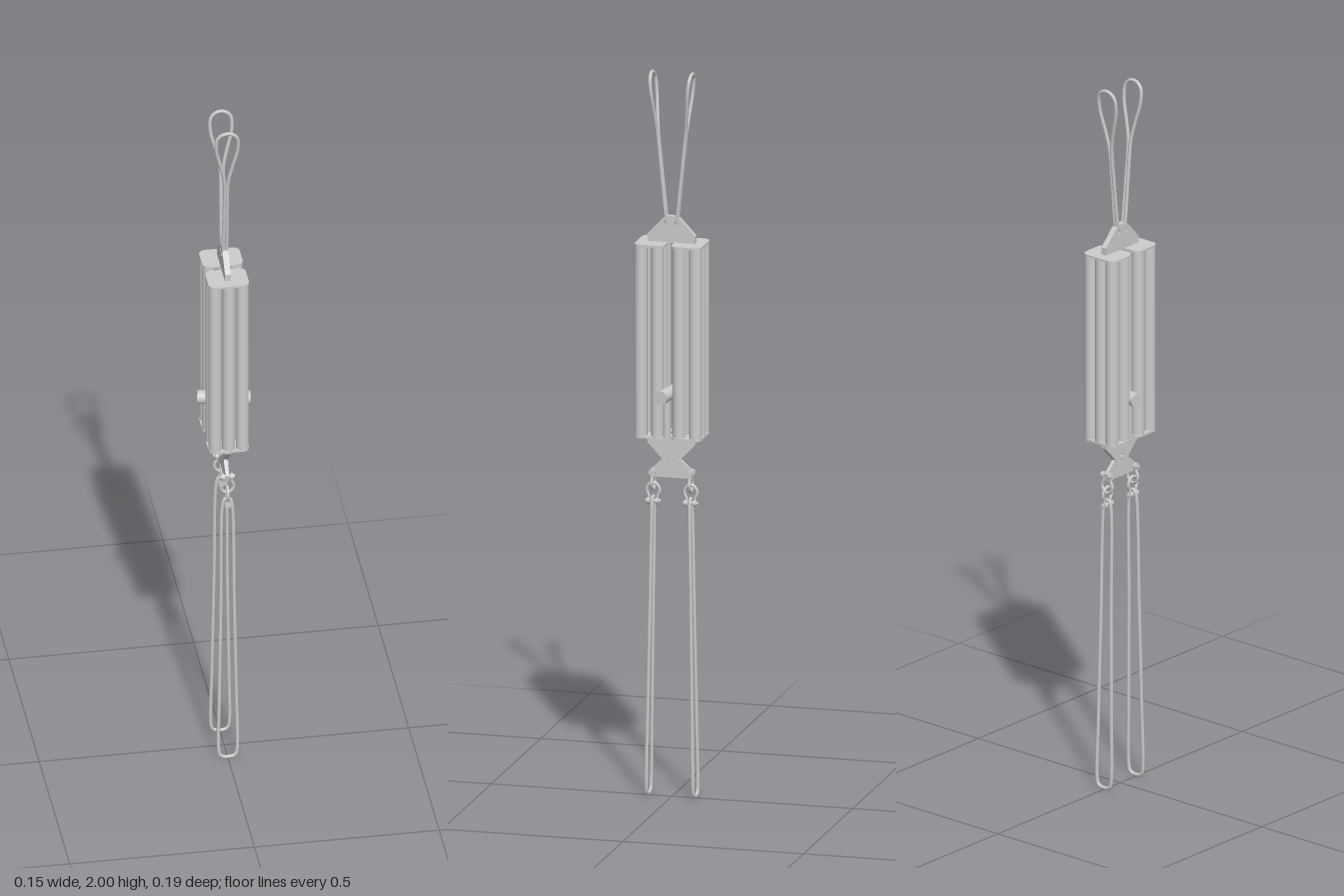
import * as THREE from 'three';

const material = new THREE.MeshStandardMaterial({ color: 0xcccccc, side: THREE.DoubleSide });
const V = (x, y, z) => new THREE.Vector3(x, y, z);

function add(parent, name, geometry, x = 0, y = 0, z = 0) {
  const mesh = new THREE.Mesh(geometry, material);
  mesh.name = name;
  mesh.position.set(x, y, z);
  parent.add(mesh);
  return mesh;
}

// Cylinder between two points
function rod(parent, name, a, b, radius, sides = 16) {
  const mesh = add(parent, name, new THREE.CylinderGeometry(radius, radius, a.distanceTo(b), sides));
  mesh.position.copy(a).add(b).multiplyScalar(0.5);
  mesh.quaternion.setFromUnitVectors(V(0, 1, 0), b.clone().sub(a).normalize());
  return mesh;
}

// Smooth round wire through points
function wire(parent, name, points, radius, closed = true, steps = 120) {
  const curve = new THREE.CatmullRomCurve3(points, closed, 'centripetal');
  return add(parent, name, new THREE.TubeGeometry(curve, steps, radius, 8, closed));
}

// Flat lug in the z-y plane, mirrored about z = 0; holes are [z, y, radius]
function lug(parent, name, half, holes, thickness) {
  const outline = [...half, ...half.slice().reverse().map(([z, y]) => [-z, y])];
  const shape = new THREE.Shape(outline.map(([z, y]) => new THREE.Vector2(z, y)));
  for (const [z, y, r] of holes) {
    shape.holes.push(new THREE.Path().absarc(z, y, r, 0, Math.PI * 2, true));
  }
  const geometry = new THREE.ExtrudeGeometry(shape, { depth: thickness, bevelEnabled: false, curveSegments: 12 });
  geometry.translate(0, 0, -thickness / 2).rotateY(-Math.PI / 2);
  return add(parent, name, geometry);
}

// Horizontal plate with rounded corners
function plateGeometry(w, d, r, thickness) {
  const x = w / 2 - r, y = d / 2 - r, q = Math.PI / 2;
  const shape = new THREE.Shape();
  [[x, y], [-x, y], [-x, -y], [x, -y]].forEach(([cx, cy], i) => shape.absarc(cx, cy, r, i * q, (i + 1) * q, false));
  const geometry = new THREE.ExtrudeGeometry(shape, { depth: thickness, bevelEnabled: false, curveSegments: 8 });
  return geometry.rotateX(-Math.PI / 2);
}

// U-shaped shackle with a headed pin, opening upward, pin along x
function shackle(name) {
  const group = new THREE.Group();
  group.name = name;
  wire(group, 'shackleBow', [
    V(-0.012, 0, 0), V(-0.012, -0.012, 0), V(-0.018, -0.03, 0), V(-0.012, -0.044, 0), V(0, -0.05, 0),
    V(0.012, -0.044, 0), V(0.018, -0.03, 0), V(0.012, -0.012, 0), V(0.012, 0, 0),
  ], 0.0045, false, 32);
  rod(group, 'shacklePin', V(-0.021, 0, 0), V(0.021, 0, 0), 0.005, 12);
  for (const s of [-1, 1]) rod(group, 'shackleEye', V(s * 0.008, 0, 0), V(s * 0.016, 0, 0), 0.0095);
  return group;
}

export function createModel() {
  const model = new THREE.Group();

  // Two bundles of upright tubes held between end plates
  for (const s of [-1, 1]) {
    const bundle = new THREE.Group();
    bundle.name = 'tubeBundle';
    model.add(bundle);
    const plate = plateGeometry(0.11, 0.084, 0.018, 0.006);
    add(bundle, 'topPlate', plate, 0, 1.524, s * 0.051);
    add(bundle, 'bottomPlate', plate, 0, 0.996, s * 0.051);
    for (const x of [-0.037, 0, 0.037]) {
      for (const z of [0.03, 0.075]) {
        add(bundle, 'tube', new THREE.CylinderGeometry(0.0175, 0.0175, 0.524, 20), x, 1.262, s * z);
      }
    }
  }

  // Skewed cross bar through the gap, with its upright post
  rod(model, 'crossBar', V(-0.07, 1.115, -0.013), V(0.07, 1.115, 0.013), 0.0185, 24);
  rod(model, 'crossBarPost', V(0.035, 0.998, 0.005), V(0.035, 1.11, 0.005), 0.009);
  rod(model, 'crossBarPost', V(-0.035, 0.998, -0.005), V(-0.035, 1.11, -0.005), 0.009);

  // Lifting lugs and the lower spreader
  lug(model, 'upperLug', [[0.066, 1.528], [0.066, 1.55], [0.022, 1.597], [0.012, 1.602]],
    [[0.014, 1.583, 0.007], [-0.014, 1.583, 0.007]], 0.016);
  lug(model, 'lowerLug', [[0.066, 0.998], [0.066, 0.975], [0.022, 0.928], [0.012, 0.922]],
    [[0, 0.938, 0.007]], 0.016);
  lug(model, 'spreader', [[0.055, 0.88], [0.058, 0.9], [0.018, 0.938], [0.01, 0.943]],
    [[0.05, 0.893, 0.005], [-0.05, 0.893, 0.005]], 0.01);
  rod(model, 'spreaderPin', V(-0.013, 0.934, 0), V(0.013, 0.934, 0), 0.006);

  for (const s of [-1, 1]) {
    // Upper rope ending in a teardrop eye, leaning outward
    const side = [[0.004, 1.6], [0.004, 1.72], [0.005, 1.83], [0.014, 1.875], [0.029, 1.94], [0.027, 1.977], [0.015, 1.991]];
    const lean = (x, y) => V(x, y, s * (0.014 + (y - 1.58) * 0.1));
    wire(model, 'upperRope', [
      lean(0, 1.573), ...side.map(([x, y]) => lean(x, y)),
      lean(0, 1.995), ...side.slice().reverse().map(([x, y]) => lean(-x, y)),
    ], 0.005, true, 200);

    // Pair of interlocked shackles, the lower one turned over and across
    const upper = shackle('upperShackle');
    upper.position.set(0, 0.894, s * 0.052);
    const lower = shackle('lowerShackle');
    lower.position.set(0, 0.812, s * 0.052);
    lower.rotation.set(Math.PI, Math.PI / 2, 0);
    model.add(upper, lower);

    // Long hanging sling loop
    const sling = [[0.008, 0.822], [0.013, 0.805], [0.018, 0.5], [0.023, 0.2], [0.025, 0.03], [0.021, 0.012], [0.012, 0.006]];
    const hang = (x, y) => V(x, y, s * (0.052 + (0.82 - y) * 0.016));
    wire(model, 'lowerSling', [
      hang(0, 0.825), ...sling.map(([x, y]) => hang(x, y)),
      hang(0, 0.005), ...sling.slice().reverse().map(([x, y]) => hang(-x, y)),
    ], 0.005, true, 200);
  }
  return model;
}
